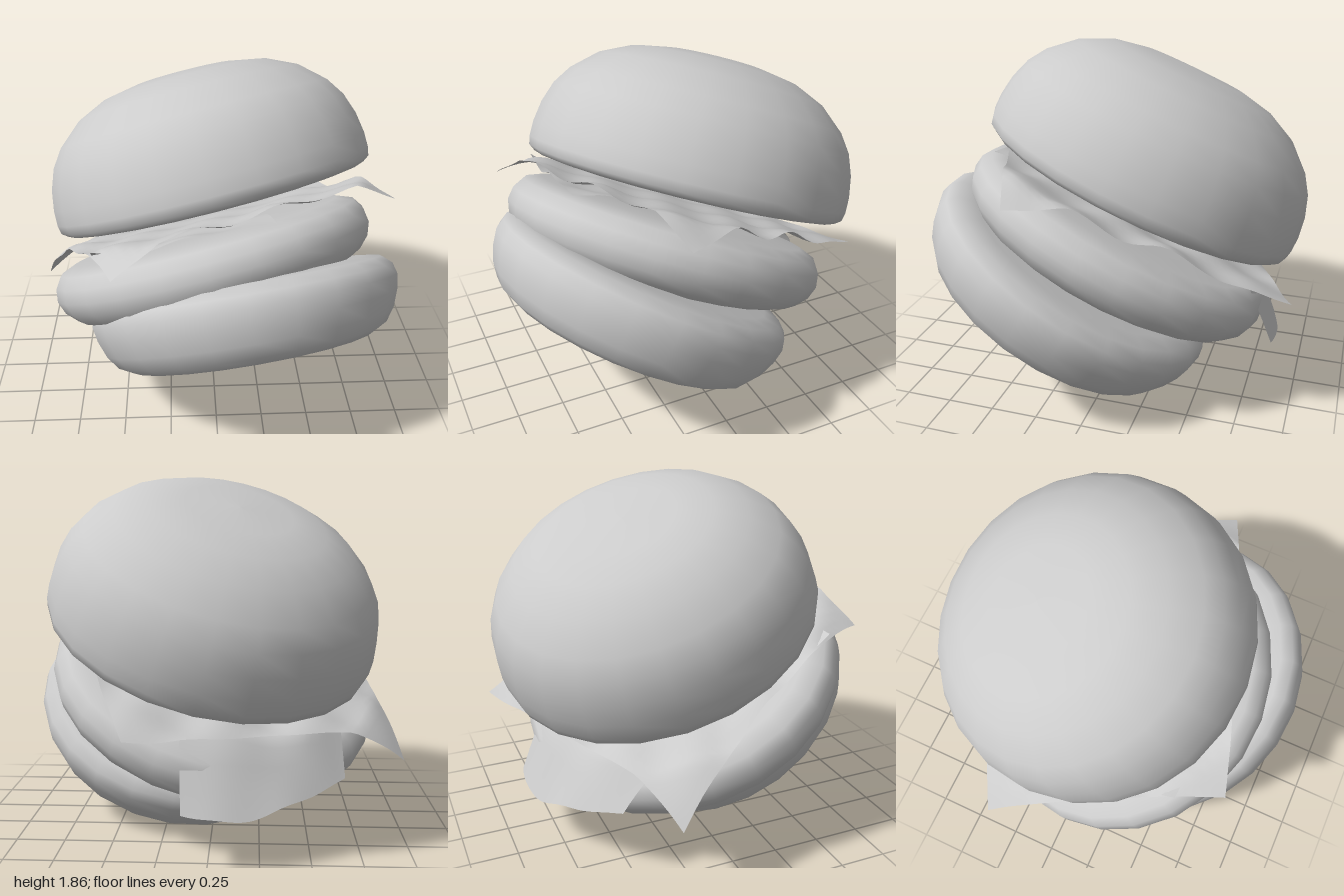
import * as THREE from 'three';

const material = new THREE.MeshStandardMaterial({ color: 0xcccccc });
const leafMaterial = new THREE.MeshStandardMaterial({ color: 0xcccccc, side: THREE.DoubleSide });

// Round layer: profile of [radius, height] pairs turned about an axis leaning along `up`
function layer(name, profile, position, up) {
  const points = profile.map(([r, h]) => new THREE.Vector2(r, h));
  const mesh = new THREE.Mesh(new THREE.LatheGeometry(points, 24), material);
  mesh.name = name;
  mesh.position.set(...position);
  mesh.quaternion.setFromUnitVectors(new THREE.Vector3(0, 1, 0), new THREE.Vector3(...up).normalize());
  return mesh;
}

// Four-cornered leaf lying on the sloping filling; each corner is [x, z, y],
// the leaf bends to that height only near its outer radius, and its back edge bows outward
function leaf(name, corners, centreY, ripple, phase, bow) {
  const n = 32;
  const geometry = new THREE.PlaneGeometry(1, 1, n, n);
  const slope = (x, z) => centreY + 0.25 * x + 0.44 * z;
  const p = geometry.attributes.position;
  for (let i = 0; i < p.count; i++) {
    const u = p.getX(i) + 0.5, v = p.getY(i) + 0.5;
    const weights = [(1 - u) * (1 - v), u * (1 - v), u * v, (1 - u) * v];
    let x = 0, z = -bow * 4 * u * (1 - u) * v * v * v, drop = 0;
    corners.forEach(([cx, cz], k) => {
      x += weights[k] * cx;
      z += weights[k] * cz;
    });
    corners.forEach(([cx, cz, cy], k) => {
      const outer = Math.hypot(cx, cz);
      const bend = THREE.MathUtils.clamp((Math.hypot(x, z) / outer - 0.82) / 0.18, 0, 1);
      drop += weights[k] * bend * (cy - slope(cx, cz));
    });
    // ripples grow toward the rim and fade at the corners
    const rim = Math.max(Math.abs(u - 0.5), Math.abs(v - 0.5)) * 2;
    const fade = 1 - Math.pow(Math.max(...weights), 4);
    const wave = Math.sin(17 * x + 6 * z + phase) * 0.6 + Math.sin(19 * z - 7 * x + phase * 2) * 0.6;
    p.setXYZ(i, x, slope(x, z) + drop + ripple * wave * fade * (0.35 + 0.65 * rim * rim), z);
  }
  geometry.computeVertexNormals();
  const mesh = new THREE.Mesh(geometry, leafMaterial);
  mesh.name = name;
  return mesh;
}

export function createModel() {
  const group = new THREE.Group();
  group.name = 'burger';

  // Bottom bun: flat, wider toward its top
  group.add(layer('bottomBun', [
    [0, 0], [0.55, 0], [0.67, 0.012], [0.74, 0.05], [0.79, 0.12], [0.825, 0.21],
    [0.84, 0.29], [0.825, 0.35], [0.775, 0.395], [0.68, 0.41], [0.4, 0.41], [0, 0.41],
  ], [0.206, 0.335, 0.378], [-0.18, 1, -0.6]));

  // Patty: thick disc with a rounded rim
  group.add(layer('patty', [
    [0, 0], [0.6, 0], [0.72, 0.012], [0.81, 0.05], [0.865, 0.11], [0.89, 0.18],
    [0.88, 0.25], [0.84, 0.31], [0.75, 0.345], [0.5, 0.35], [0, 0.35],
  ], [0.045, 0.565, 0.103], [-0.27, 1, -0.47]));

  // Two leaves, corners poking out between patty and top bun
  group.add(leaf('lowerLeaf', [
    [-0.61, 0.59, 1.1], [0.28, 0.63, 1.26], [0.12, -0.87, 0.27], [-0.67, -0.56, 0.36],
  ], 0.94, 0.018, 1, 0.12));
  group.add(leaf('upperLeaf', [
    [-0.5, 0.82, 1.08], [0.92, 0.3, 1.21], [0.37, -0.98, 0.65], [-0.99, -0.38, 0.4],
  ], 0.98, 0.03, 0.4, 0));

  // Top bun: flat underside with a tight rim and a broad dome
  group.add(layer('topBun', [
    [0, 0], [0.6, 0], [0.77, 0], [0.835, 0.01], [0.868, 0.035], [0.876, 0.08], [0.874, 0.16],
    [0.855, 0.27], [0.815, 0.38], [0.75, 0.475], [0.62, 0.59], [0.46, 0.665], [0.28, 0.7], [0, 0.71],
  ], [0.022, 1.04, -0.09], [-0.26, 1, -0.41]));

  return group;
}
